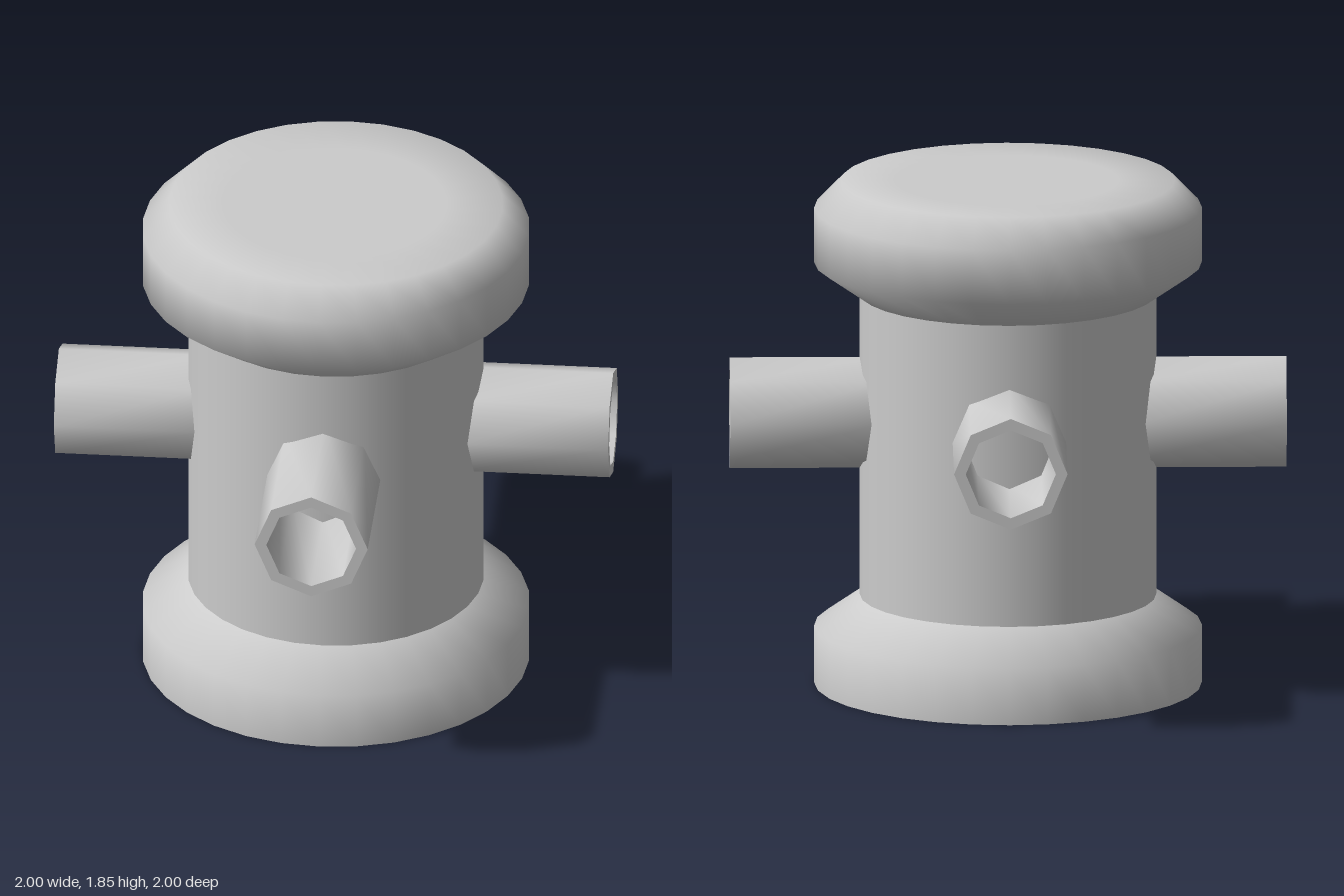
import * as THREE from 'three';
import { toCreasedNormals } from 'three/addons/utils/BufferGeometryUtils.js';

const material = new THREE.MeshStandardMaterial({ color: 0xcccccc, side: THREE.DoubleSide });

// Turned part from [radius, height] pairs
function turned(profile, segments) {
  return new THREE.LatheGeometry(profile.map(([r, y]) => new THREE.Vector2(r, y)), segments);
}

function addPart(parent, name, geometry) {
  const mesh = new THREE.Mesh(geometry, material);
  mesh.name = name;
  parent.add(mesh);
  return mesh;
}

export function createModel() {
  const group = new THREE.Group();
  group.name = 'hydrant';

  // Flared foot, open underneath
  addPart(group, 'base', turned([[0.697, 0], [0.697, 0.21], [0.533, 0.325]], 32));

  // Straight hollow barrel
  addPart(group, 'barrel', turned([[0.533, 0.325], [0.533, 1.435]], 32));

  // Wide chamfered cap with a flat top
  addPart(group, 'cap', turned([
    [0.533, 1.435], [0.697, 1.55], [0.697, 1.75], [0.6, 1.85], [0.4, 1.85], [0, 1.85],
  ], 32));

  // Four hollow octagonal outlets around the barrel
  const outlet = toCreasedNormals(
    turned([[0.204, 0.46], [0.204, 1], [0.162, 1], [0.162, 0.46]], 8), 0.9);
  outlet.rotateX(Math.PI / 2);
  ['frontOutlet', 'leftOutlet', 'backOutlet', 'rightOutlet'].forEach((name, i) => {
    const mesh = addPart(group, name, outlet);
    mesh.position.y = 0.995;
    mesh.rotation.y = i * Math.PI / 2;
  });

  return group;
}
